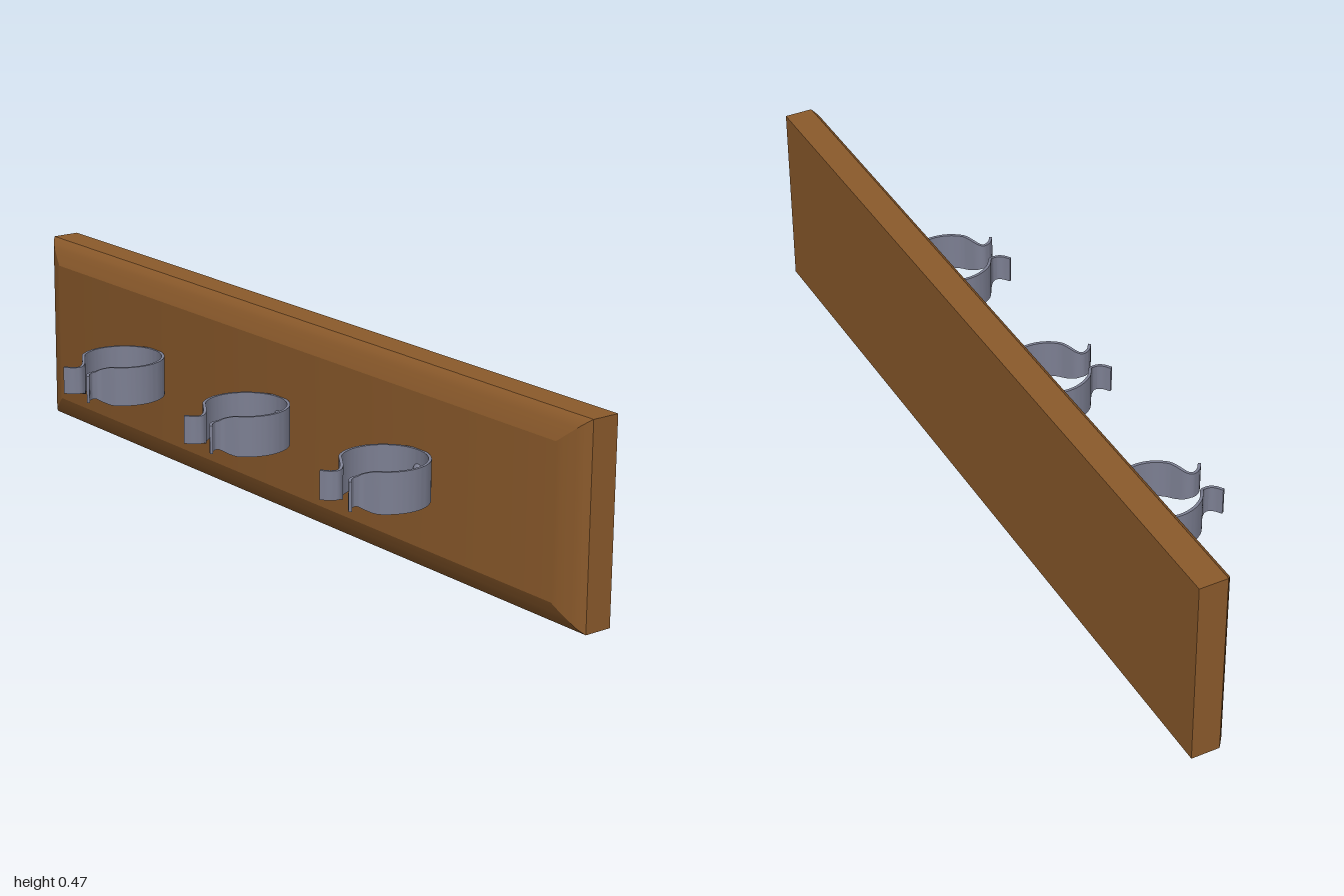
import * as THREE from 'three';
import { toCreasedNormals } from 'three/addons/utils/BufferGeometryUtils.js';

const MID_Y = 0.235;

// Skin a row of four-cornered cross-sections (counter-clockwise seen from the far end) and cap both ends.
function loft(rings, crease) {
  const pos = [];
  const quad = (a, b, c, d) => [a, b, c, a, c, d].forEach((p) => pos.push(p.x, p.y, p.z));
  for (let i = 0; i < rings.length - 1; i++) {
    for (let j = 0; j < 4; j++) {
      const k = (j + 1) % 4;
      quad(rings[i][j], rings[i][k], rings[i + 1][k], rings[i + 1][j]);
    }
  }
  const [a, b, c, d] = rings[0];
  quad(d, c, b, a);
  quad(...rings[rings.length - 1]);
  const geo = new THREE.BufferGeometry();
  geo.setAttribute('position', new THREE.Float32BufferAttribute(pos, 3));
  return toCreasedNormals(geo, crease);
}

const CORNERS = [[-1, -1], [1, -1], [1, 1], [-1, 1]];

// Plank with a square back and a rounded bevel around its front face
function boardGeometry() {
  const h = 0.467;
  const profile = [ // inset, z
    [0, -0.17], [0, -0.102], [0.005, -0.0965], [0.0125, -0.089],
    [0.022, -0.0835], [0.033, -0.0785], [0.045, -0.073], [0.058, -0.068],
  ];
  const rings = profile.map(([inset, z]) => CORNERS.map(([sx, sy]) =>
    new THREE.Vector3(sx * (1 - inset * 1.25), h / 2 + sy * (h / 2 - inset), z)));
  return loft(rings, 0.3);
}

// Springy strip: a round loop open at the front, with narrower lips that pinch in and flare out
function clipGeometry() {
  const r = 0.097, cz = 0.03, open = Math.PI / 4;
  const lip = [[0.052, 0.166], [0.035, 0.153], [0.028, 0.137], [0.034, 0.122], [0.051, 0.11]];
  const pts = lip.map(([x, z]) => new THREE.Vector3(x, 0, z));
  for (let i = 0; i <= 24; i++) {
    const a = open + (i / 24) * (2 * Math.PI - 2 * open);
    pts.push(new THREE.Vector3(r * Math.sin(a), 0, cz + r * Math.cos(a)));
  }
  lip.slice().reverse().forEach(([x, z]) => pts.push(new THREE.Vector3(-x, 0, z)));
  const curve = new THREE.CatmullRomCurve3(pts, false, 'centripetal');

  const up = new THREE.Vector3(0, 1, 0);
  const rings = [];
  const steps = 110;
  for (let i = 0; i <= steps; i++) {
    const p = curve.getPointAt(i / steps);
    const n = new THREE.Vector3().crossVectors(up, curve.getTangentAt(i / steps)).normalize();
    const half = 0.0475 - 0.0145 * THREE.MathUtils.smoothstep(p.z, 0.1, 0.135);
    rings.push(CORNERS.map(([sn, sy]) =>
      p.clone().addScaledVector(n, sn * 0.0035).addScaledVector(up, sy * half)));
  }
  return loft(rings, 0.6);
}

export function createModel() {
  const group = new THREE.Group();
  const wood = new THREE.MeshStandardMaterial({ color: 0x8b5a2b });
  const metal = new THREE.MeshStandardMaterial({ color: 0x7c7f92 });

  const board = new THREE.Mesh(boardGeometry(), wood);
  board.name = 'board';
  group.add(board);

  // Three clips, each held by a domed screw
  const clipGeo = clipGeometry();
  const screwGeo = new THREE.SphereGeometry(0.016, 20, 8, 0, Math.PI * 2, 0, Math.PI / 2);
  screwGeo.rotateX(Math.PI / 2).scale(1, 1, 0.75);
  for (const x of [-0.5, 0, 0.5]) {
    const holder = new THREE.Group();
    holder.name = 'clipHolder';
    holder.position.set(x, MID_Y, 0);
    const clip = new THREE.Mesh(clipGeo, metal);
    clip.name = 'springClip';
    const screw = new THREE.Mesh(screwGeo, metal);
    screw.name = 'screwHead';
    screw.position.z = -0.066;
    holder.add(clip, screw);
    group.add(holder);
  }
  return group;
}
